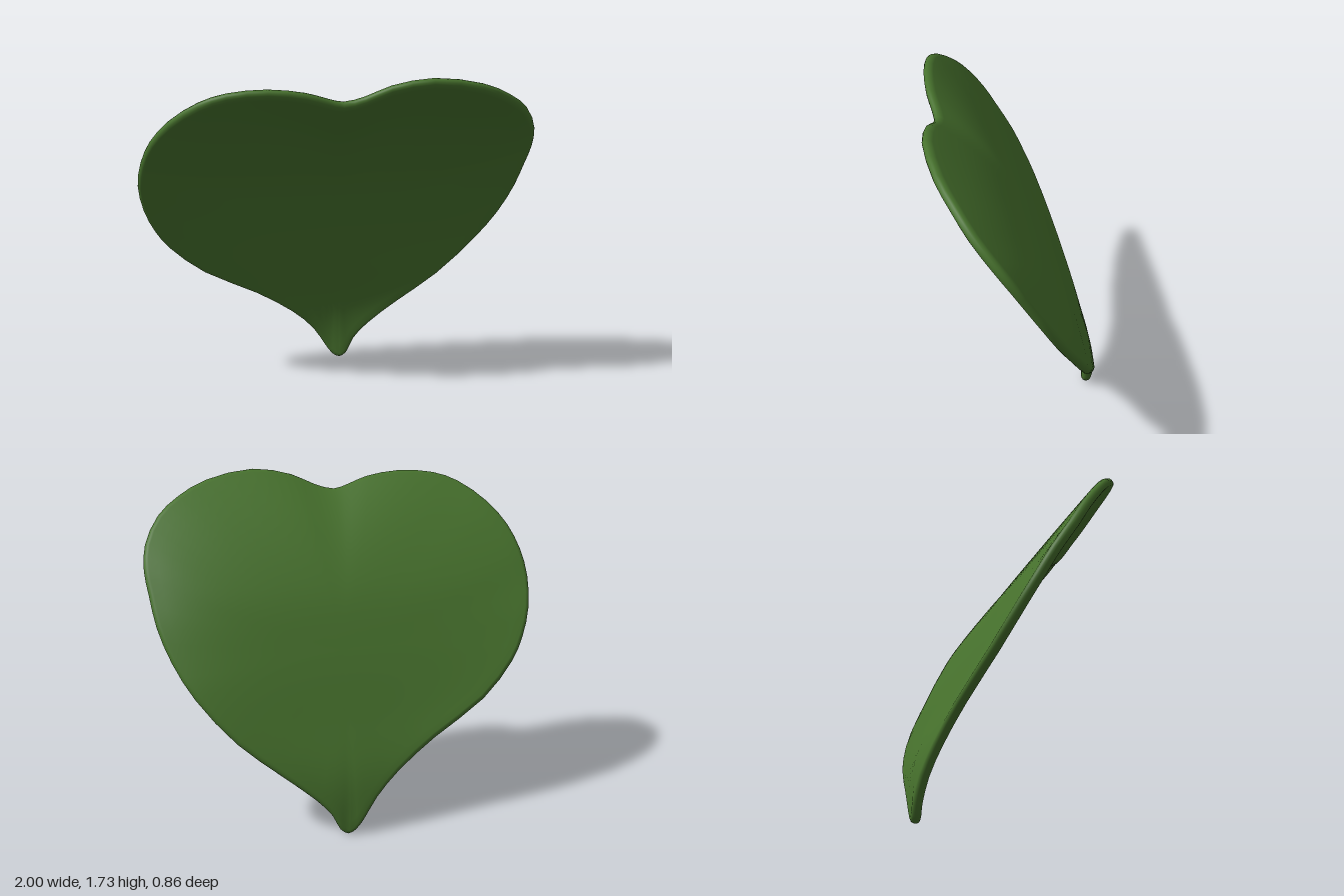
import * as THREE from 'three';
import { mergeVertices } from 'three/addons/utils/BufferGeometryUtils.js';

// Leaf outline (x, y, z), counter-clockwise seen from the front, starting at the tip
const OUTLINE = [
  [0.07, 0.005, -0.4], [0.11, 0.03, -0.4], [0.15, 0.11, -0.404], [0.23, 0.2, -0.398],
  [0.4, 0.34, -0.378], [0.61, 0.51, -0.333], [0.8, 0.73, -0.257], [0.9, 0.9, -0.175],
  [0.96, 1.06, -0.095], [0.985, 1.2, -0.015], [1.0, 1.31, 0.05], [0.985, 1.42, 0.13],
  [0.91, 1.54, 0.235], [0.8, 1.62, 0.31], [0.65, 1.685, 0.38], [0.4, 1.725, 0.428],
  [0.2, 1.692, 0.412], [0.08, 1.64, 0.387], [-0.02, 1.615, 0.374], [-0.1, 1.635, 0.387],
  [-0.2, 1.667, 0.41], [-0.38, 1.69, 0.423], [-0.57, 1.675, 0.412], [-0.7, 1.63, 0.377],
  [-0.84, 1.53, 0.292], [-0.93, 1.42, 0.212], [-0.98, 1.3, 0.132], [-1.0, 1.17, 0.057],
  [-0.98, 1.02, -0.033], [-0.93, 0.89, -0.1], [-0.86, 0.78, -0.155], [-0.68, 0.61, -0.235],
  [-0.4, 0.45, -0.312], [-0.2, 0.31, -0.363], [-0.08, 0.19, -0.393], [-0.01, 0.08, -0.404],
  [0.03, 0.025, -0.4],
];

// Depth of the leaf's middle at even steps of height, from y = -0.3 to y = 2.1
const SPINE = new THREE.SplineCurve(
  [-0.4, -0.403, -0.378, -0.275, -0.158, -0.012, 0.222, 0.56, 0.95]
    .map((z, i) => new THREE.Vector2(-0.3 + i * 0.3, z))
);
const TILT = 0.08; // the blade's left side leans back
const bladeZ = (x, y) => SPINE.getPoint((y + 0.3) / 2.4).y - TILT * x;

const HALF = 0.025; // half the thickness of the blade
const CENTRE = new THREE.Vector2(0.05, 0.9);

function bladeGeometry() {
  const rim = new THREE.CatmullRomCurve3(OUTLINE.map((p) => new THREE.Vector3(...p)), true);
  const columns = OUTLINE.length * 2;

  // Cross-section from the front centre, round the rim, to the back centre:
  // r = way out to the inset rim, a = angle of the rounded edge (0 front, PI back)
  const rows = [];
  const steps = 18;
  for (let i = 0; i < steps; i++) rows.push({ r: i / steps, a: 0 });
  for (let i = 0; i <= 8; i++) rows.push({ r: 1, a: (i / 8) * Math.PI });
  for (let i = steps - 1; i >= 0; i--) rows.push({ r: i / steps, a: Math.PI });

  const positions = [];
  for (const { r, a } of rows) {
    for (let j = 0; j < columns; j++) {
      const edge = rim.getPoint(j / columns);
      const tangent = rim.getTangent(j / columns);
      const out = new THREE.Vector2(tangent.y, -tangent.x).normalize();
      const inset = new THREE.Vector2(edge.x, edge.y).addScaledVector(out, -HALF);
      const p = CENTRE.clone().lerp(inset, r).addScaledVector(out, HALF * Math.sin(a));
      // The rim curls away from the blade's main surface
      const z = bladeZ(p.x, p.y) + r ** 4 * (edge.z - bladeZ(edge.x, edge.y));
      const slope = (bladeZ(p.x, p.y + 0.02) - bladeZ(p.x, p.y - 0.02)) / 0.04;
      const lift = (HALF * Math.cos(a)) / Math.hypot(1, slope);
      positions.push(p.x, p.y - slope * lift, z + lift);
    }
  }

  const index = [];
  for (let i = 0; i < rows.length - 1; i++) {
    for (let j = 0; j < columns; j++) {
      const k = (j + 1) % columns;
      const a = i * columns + j, b = a + columns;
      const c = (i + 1) * columns + k, d = i * columns + k;
      // Single triangles at the two centres, quads elsewhere
      if (i === 0) index.push(a, b, c);
      else if (i === rows.length - 2) index.push(a, b, d);
      else index.push(a, b, c, a, c, d);
    }
  }
  const geometry = new THREE.BufferGeometry();
  geometry.setAttribute('position', new THREE.Float32BufferAttribute(positions, 3));
  geometry.setIndex(index);
  const merged = mergeVertices(geometry, 1e-5);
  merged.computeVertexNormals();
  return merged;
}

export function createModel() {
  const green = new THREE.MeshStandardMaterial({ color: 0x47722d });
  green.name = 'leaf green';

  const blade = new THREE.Mesh(bladeGeometry(), green);
  blade.name = 'leafBlade';

  const leaf = new THREE.Group();
  leaf.name = 'leaf';
  leaf.add(blade);
  return leaf;
}
